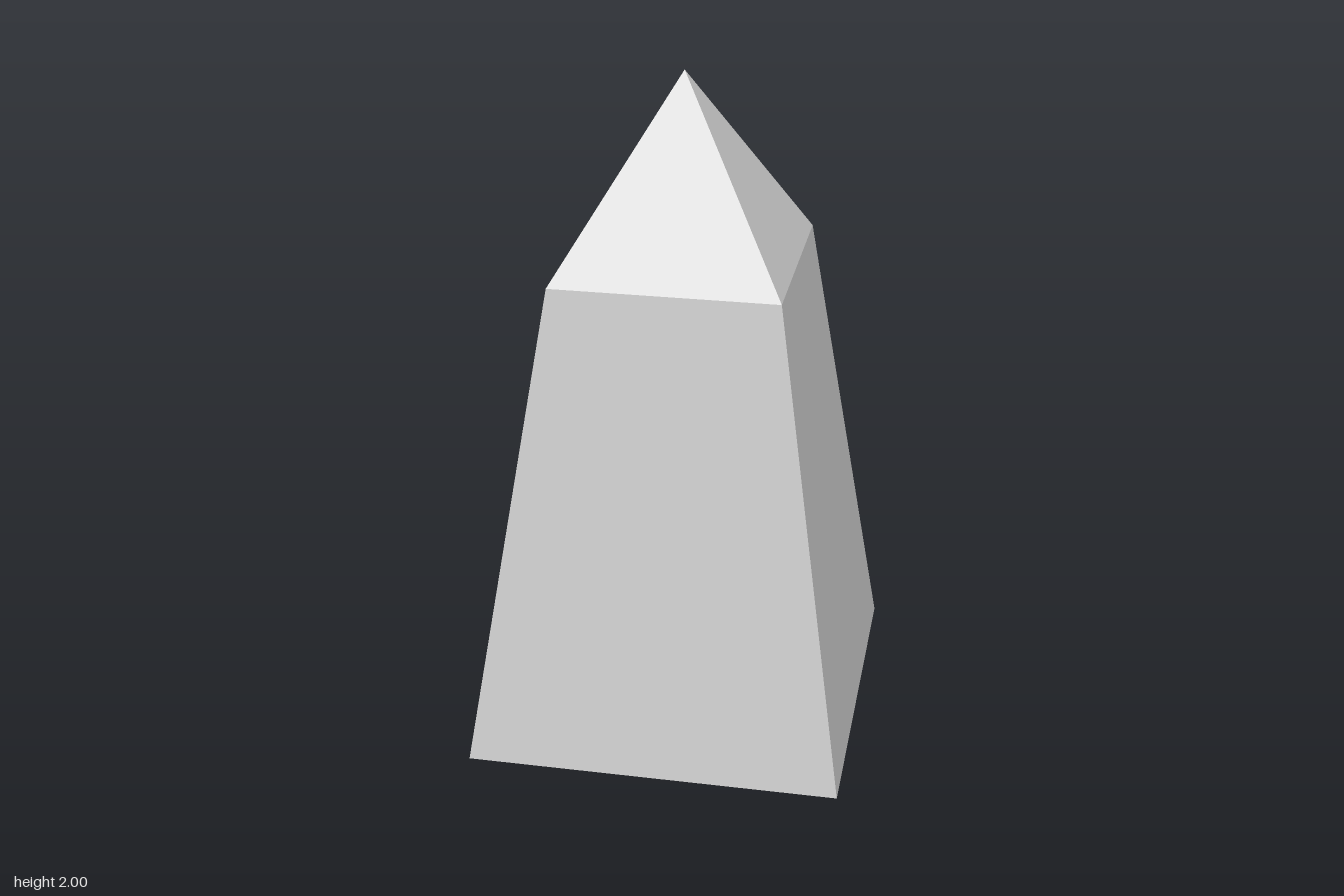
import * as THREE from 'three';

const BASE = 0.555, SHOULDER = 0.333; // half widths
const SHOULDER_Y = 1.445, TOP_Y = 2;

// Square-plan solid swept from [half width, height] pairs, bottom to top
function squareLathe(name, profile, material) {
  const points = profile.map(([half, y]) => new THREE.Vector2(half * Math.SQRT2, y));
  const mesh = new THREE.Mesh(new THREE.LatheGeometry(points, 4, Math.PI / 4), material);
  mesh.name = name;
  return mesh;
}

export function createModel() {
  const group = new THREE.Group();
  group.name = 'obelisk';
  const material = new THREE.MeshStandardMaterial({ color: 0xcccccc, flatShading: true });

  // Tapered shaft with a closed underside
  group.add(squareLathe('shaft', [[0, 0], [BASE, 0], [SHOULDER, SHOULDER_Y]], material));

  // Pyramid tip
  group.add(squareLathe('pyramidTip', [[SHOULDER, SHOULDER_Y], [0, TOP_Y]], material));

  return group;
}
